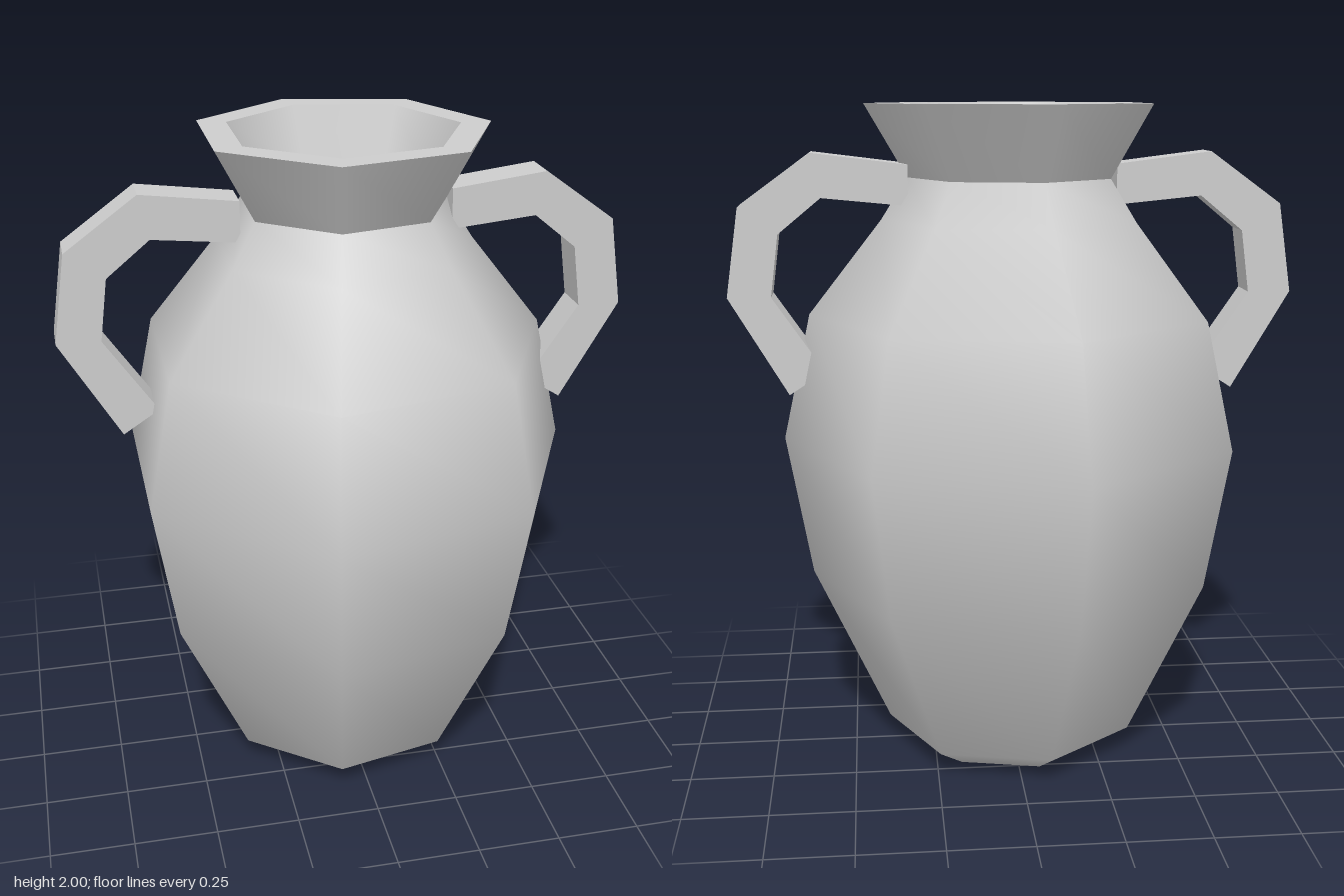
import * as THREE from 'three';

const SIDES = 7;

export function createModel() {
  const model = new THREE.Group();
  model.name = 'vase';
  const clay = new THREE.MeshStandardMaterial({ color: 0xcccccc });
  clay.name = 'pale grey clay';

  const add = (name, geometry) => {
    const mesh = new THREE.Mesh(geometry, clay);
    mesh.name = name;
    model.add(mesh);
    return mesh;
  };

  // Seven-sided turned sections with a corner on +x; separate sections keep sharp edges
  const turn = (name, profile) => add(name, new THREE.LatheGeometry(
    profile.map(([r, y]) => new THREE.Vector2(r, y)), SIDES, Math.PI / 2));

  turn('base', [[0, 0], [0.28, 0.005]]);
  turn('body', [[0.28, 0.005], [0.39, 0.075], [0.62, 0.57], [0.695, 1.0],
    [0.61, 1.38], [0.39, 1.66], [0.31, 1.785]]);
  turn('neck', [[0.31, 1.785], [0.435, 2]]);
  turn('rim', [[0.435, 2], [0.345, 2]]);
  turn('mouthWall', [[0.345, 2], [0.27, 1.83]]);
  turn('mouthFloor', [[0.27, 1.83], [0, 1.83]]);

  // Angular handles: outer edge from neck to belly, then the inner edge back up
  const outline = [[0.31, 1.825], [0.593, 1.86], [0.807, 1.705], [0.847, 1.44], [0.673, 1.145],
    [0.565, 1.215], [0.718, 1.44], [0.693, 1.625], [0.565, 1.73], [0.31, 1.705]];
  for (const [name, side] of [['leftHandle', 1], ['rightHandle', -1]]) {
    const shape = new THREE.Shape(outline.map(([x, y]) => new THREE.Vector2(side * x, y)));
    const geometry = new THREE.ExtrudeGeometry(shape, { depth: 0.12, bevelEnabled: false });
    geometry.translate(0, 0, -0.06);
    add(name, geometry);
  }
  return model;
}
